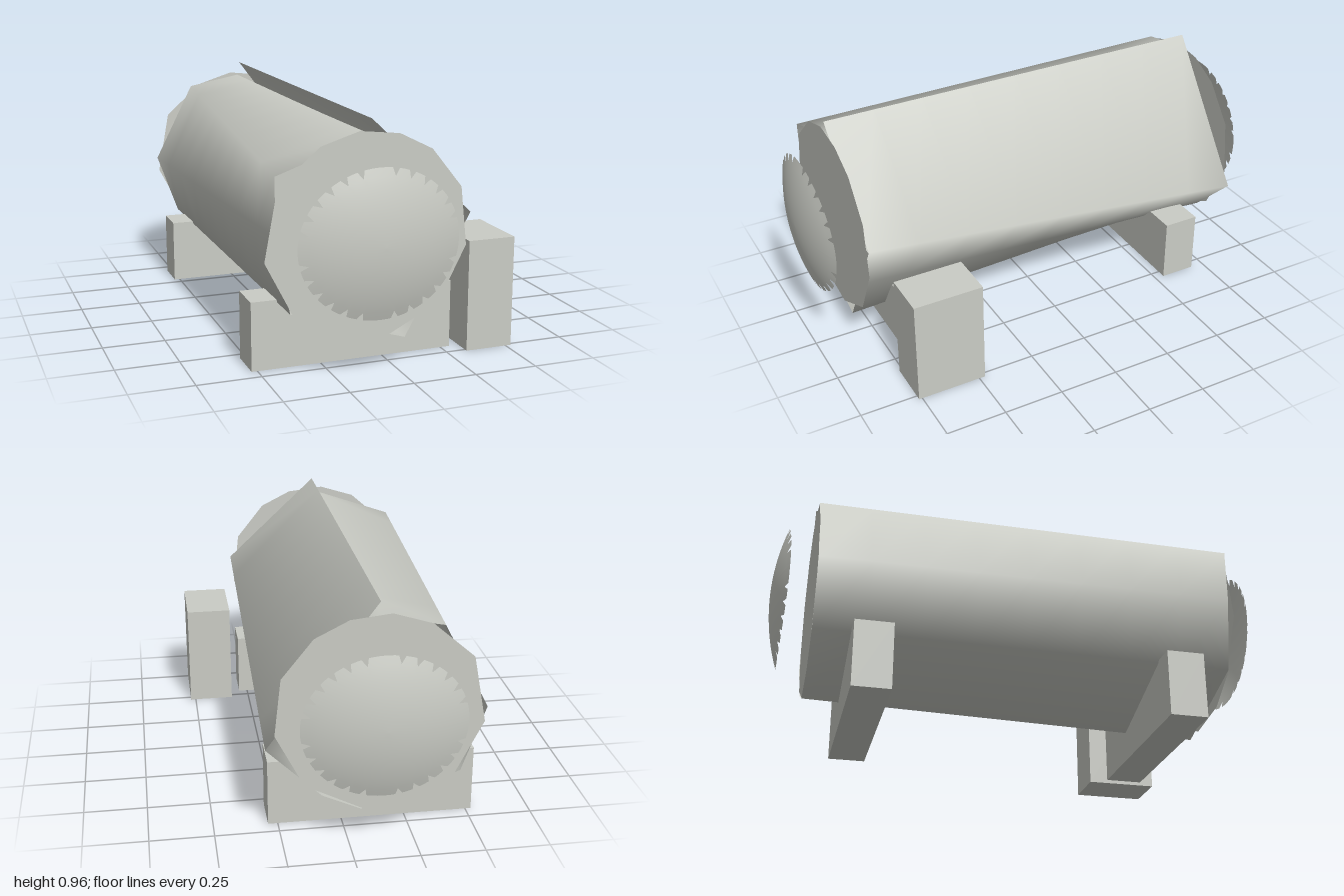
import * as THREE from 'three';

const CX = -0.115, CY = 0.52; // tank axis

export function createModel() {
  const steel = new THREE.MeshStandardMaterial({ color: 0xcaccc5, side: THREE.DoubleSide });
  steel.name = 'paleGrey';
  const model = new THREE.Group();
  model.name = 'storageTank';

  const add = (name, geometry) => {
    const mesh = new THREE.Mesh(geometry, steel);
    mesh.name = name;
    model.add(mesh);
    return mesh;
  };

  // Build an indexed, smooth surface from rows of points
  const surface = (rows) => {
    const n = rows[0].length, index = [];
    for (let r = 0; r < rows.length - 1; r++) {
      for (let i = 0; i < n - 1; i++) {
        const a = r * n + i, b = a + n;
        index.push(a, a + 1, b, a + 1, b + 1, b);
      }
    }
    const g = new THREE.BufferGeometry();
    g.setAttribute('position', new THREE.Float32BufferAttribute(rows.flat(2), 3));
    g.setIndex(index);
    g.computeVertexNormals();
    return g;
  };

  // Rolled sheet: coarse cross-section that twists from front to back, its end tucked under the top lap
  const front = [[-0.11, 0.955], [0.29, 0.58], [0.16, 0.35], [0.03, 0.12],
    [-0.42, 0.26], [-0.472, 0.55], [-0.475, 0.77], [-0.12, 0.895], [-0.02, 0.855]];
  const back = [[-0.11, 0.96], [0.31, 0.4], [0.1, 0.195], [-0.05, 0.125],
    [-0.43, 0.26], [-0.522, 0.52], [-0.35, 0.856], [-0.12, 0.9], [-0.03, 0.845]];
  const rows = [];
  for (let k = 0; k <= 8; k++) {
    const t = k / 8;
    rows.push(front.map(([x, y], i) => [
      x + (back[i][0] - x) * t, y + (back[i][1] - y) * t, 0.84 - 1.68 * t]));
  }
  add('tankShell', surface(rows));

  // Flat polygonal end plates, the same outline at both ends
  const plate = [[-0.155, 0.912], [0, 0.895], [0.13, 0.83], [0.25, 0.68], [0.275, 0.455],
    [0.165, 0.24], [-0.06, 0.125], [-0.27, 0.155], [-0.405, 0.245], [-0.515, 0.46],
    [-0.465, 0.725], [-0.305, 0.865]];
  const plateGeometry = new THREE.ShapeGeometry(
    new THREE.Shape(plate.map(([x, y]) => new THREE.Vector2(x, y))));

  // Shallow domes with a notched rim, set off from the end plates
  const R = 0.83, SEG = 144, RINGS = 10;
  const dome = [];
  for (let r = RINGS; r >= 0; r--) {
    const row = [];
    for (let i = 0; i <= SEG; i++) {
      const a = (i / SEG) * Math.PI * 2;
      const notch = i % 5 === 2 && Math.abs(Math.sin(2 * a)) > 0.3 ? 0.9 : 1;
      const s = (r / RINGS) * (r === RINGS ? notch : 0.98);
      const x = 0.31 * s * Math.cos(a), y = 0.28 * s * Math.sin(a);
      row.push([x, CY + y, 1 - R + Math.sqrt(R * R - x * x - y * y)]);
    }
    dome.push(row);
  }
  const domeGeometry = surface(dome);

  for (const [side, sign] of [['front', 1], ['back', -1]]) {
    add(side + 'EndPlate', plateGeometry).position.z = 0.84 * sign;
    const cap = add(side + 'Dome', domeGeometry);
    cap.rotation.y = sign > 0 ? 0 : Math.PI;
    cap.position.x = CX;
  }

  // Support blocks and the free-standing cabinet
  const block = (name, x0, x1, y1, z0, z1) => {
    add(name, new THREE.BoxGeometry(x1 - x0, y1, z1 - z0))
      .position.set((x0 + x1) / 2, y1 / 2, (z0 + z1) / 2);
  };
  block('frontSaddle', -0.523, 0.288, 0.27, 0.54, 0.692);
  block('backSaddle', -0.523, 0.288, 0.27, -0.692, -0.54);
  block('cabinet', 0.329, 0.522, 0.443, 0.475, 0.764);

  return model;
}
